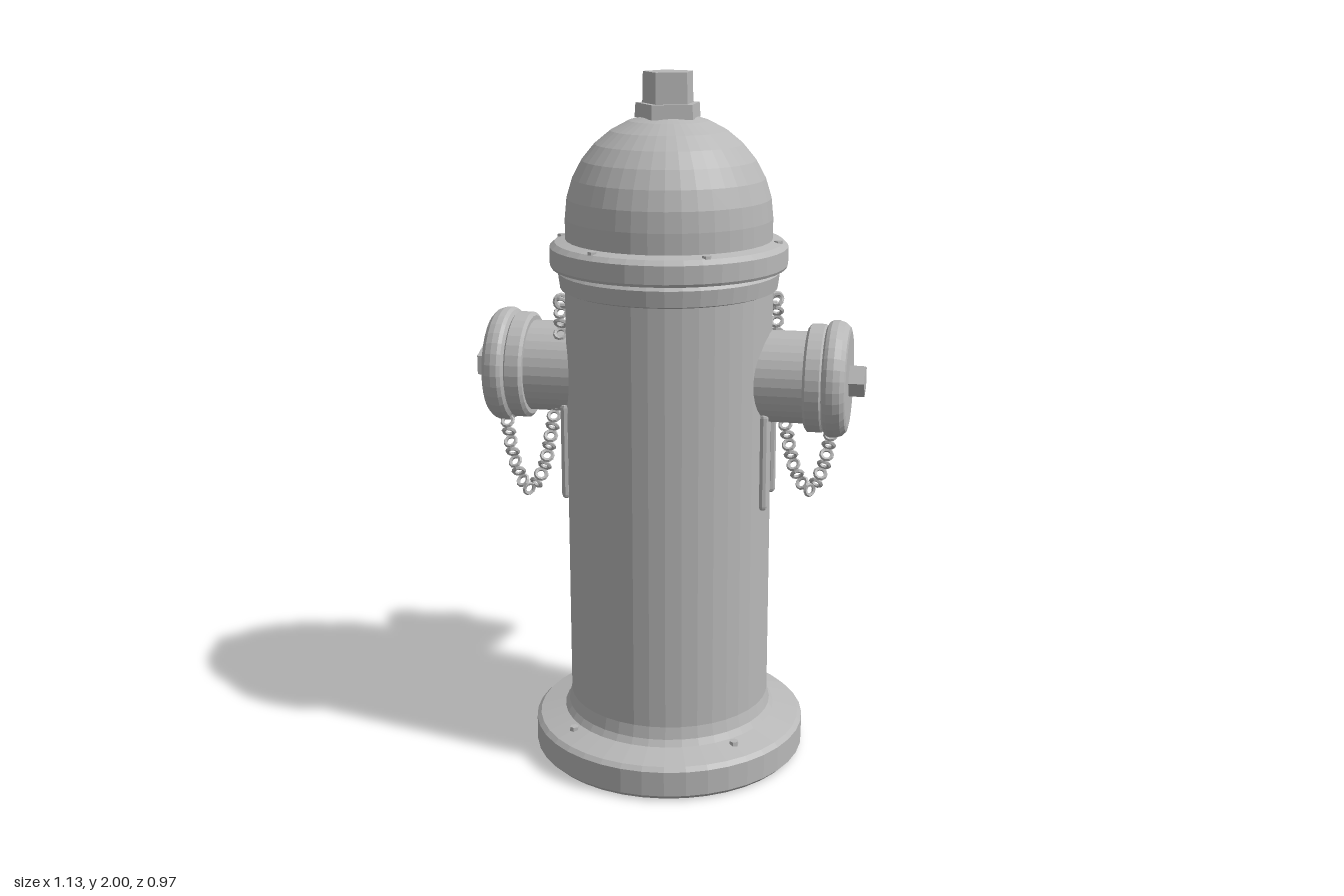
import * as THREE from 'three';

const iron = new THREE.MeshStandardMaterial({ color: 0xb8b8b8, flatShading: true });
iron.name = 'cast iron grey';

function add(parent, name, geometry, x = 0, y = 0, z = 0) {
  const mesh = new THREE.Mesh(geometry, iron);
  mesh.name = name;
  mesh.position.set(x, y, z);
  parent.add(mesh);
  return mesh;
}

const lathe = (points, segments) =>
  new THREE.LatheGeometry(points.map(([r, y]) => new THREE.Vector2(r, y)), segments);

// Five-sided operating nut, standing on its base
const nut = (radius, height) =>
  new THREE.CylinderGeometry(radius * 0.97, radius, height, 5).translate(0, height / 2, 0);

// Chain hanging from an eye on the barrel, under the pipe, up to the cap
function createChain() {
  const chain = new THREE.Group();
  chain.name = 'chain';
  const path = new THREE.CatmullRomCurve3([
    [0.298, 1.36], [0.302, 1.25], [0.315, 1.1], [0.335, 0.97], [0.365, 0.85],
    [0.405, 0.797], [0.44, 0.86], [0.46, 0.95], [0.468, 1.03],
  ].map(([x, y]) => new THREE.Vector3(x, y, 0)));
  const link = new THREE.TorusGeometry(0.016, 0.006, 5, 10);
  const count = Math.round(path.getLength() / 0.031);
  for (let i = 0; i <= count; i++) {
    const p = path.getPointAt(i / count);
    const t = path.getTangentAt(i / count);
    const mesh = add(chain, 'chainLink', link, p.x, p.y, 0);
    mesh.rotation.set(0, i % 2 ? 0.75 : -0.75, Math.atan2(t.y, t.x), 'ZYX');
  }
  // Wall eye with its short stem
  add(chain, 'chainEye', new THREE.TorusGeometry(0.018, 0.007, 6, 12), 0.298, 1.362, 0).rotation.y = 0.6;
  add(chain, 'eyeStem', new THREE.CylinderGeometry(0.008, 0.008, 0.05, 8).rotateZ(Math.PI / 2), 0.275, 1.35, 0);
  return chain;
}

// One outlet pointing along +x: pipe, stepped cap, nut, chain and two ribs
function createOutlet(name, pipeRadius, capRadius) {
  const outlet = new THREE.Group();
  outlet.name = name;
  const height = 1.155;
  const pipe = new THREE.CylinderGeometry(pipeRadius, pipeRadius, 0.24, 32, 1, true);
  add(outlet, 'outletPipe', pipe.rotateZ(-Math.PI / 2), 0.3, height, 0);

  const c = capRadius;
  const cap = lathe([
    [0, 0.40], [c - 0.022, 0.40], [c - 0.012, 0.408], [c - 0.012, 0.447],
    [c - 0.018, 0.452], [c - 0.006, 0.458], [c, 0.468], [c, 0.486],
    [c - 0.006, 0.504], [c - 0.018, 0.516], [c - 0.03, 0.519], [0, 0.519],
  ], 32);
  add(outlet, 'outletCap', cap.rotateZ(-Math.PI / 2), 0, height, 0);
  add(outlet, 'capNut', nut(0.048, 0.048).rotateZ(-Math.PI / 2), 0.515, height, 0);

  const chain = createChain();
  chain.position.z = -0.072;
  outlet.add(chain);

  // Rounded vertical ribs on the barrel below the pipe
  for (const side of [-1, 1]) {
    add(outlet, 'rib', new THREE.CapsuleGeometry(0.013, 0.262, 3, 8), 0.289, 0.923, side * 0.085);
  }
  return outlet;
}

// Ring of small bolt heads around the axis
function addBolts(parent, name, count, start, radius, y) {
  for (let i = 0; i < count; i++) {
    const a = start + (i / count) * Math.PI * 2;
    add(parent, name, new THREE.CylinderGeometry(0.013, 0.015, 0.02, 6),
      Math.cos(a) * radius, y, Math.sin(a) * radius);
  }
}

export function createModel() {
  const model = new THREE.Group();
  model.name = 'hydrant';
  const hydrant = new THREE.Group();
  hydrant.name = 'hydrantBody';
  hydrant.position.z = 0.08;
  model.add(hydrant);

  // Foot flange flaring into the barrel
  add(hydrant, 'base', lathe([
    [0, 0], [0.388, 0], [0.402, 0.014], [0.402, 0.088], [0.39, 0.1],
    [0.315, 0.122], [0.303, 0.14], [0.295, 0.175],
  ], 40));
  add(hydrant, 'barrel', lathe([[0.295, 0.175], [0.295, 1.4]], 40));

  // Double collar under the bonnet
  add(hydrant, 'collar', lathe([
    [0.295, 1.4], [0.308, 1.405], [0.314, 1.45], [0.304, 1.462], [0.332, 1.464],
    [0.336, 1.472], [0.336, 1.522], [0.322, 1.535], [0.29, 1.543],
  ], 40));

  // Domed bonnet
  const dome = [[0.292, 1.54]];
  for (let i = 0; i <= 8; i++) {
    const a = (i / 8) * Math.PI / 2;
    dome.push([0.292 * Math.cos(a), 1.6 + 0.29 * Math.sin(a)]);
  }
  add(hydrant, 'bonnet', lathe(dome, 40));
  add(hydrant, 'nutCollar', nut(0.097, 0.04).rotateY(-Math.PI / 2), 0, 1.875, 0);
  add(hydrant, 'topNut', nut(0.075, 0.09).rotateY(-Math.PI / 2), 0, 1.91, 0);

  addBolts(hydrant, 'baseBolt', 4, Math.PI / 4, 0.335, 0.115);
  addBolts(hydrant, 'collarBolt', 6, 0, 0.31, 1.533);

  // Two side outlets and the larger back outlet
  const left = createOutlet('leftOutlet', 0.131, 0.166);
  const back = createOutlet('backOutlet', 0.158, 0.193);
  const right = createOutlet('rightOutlet', 0.131, 0.166);
  back.rotation.y = Math.PI / 2;
  right.rotation.y = Math.PI;
  hydrant.add(left, back, right);

  return model;
}
